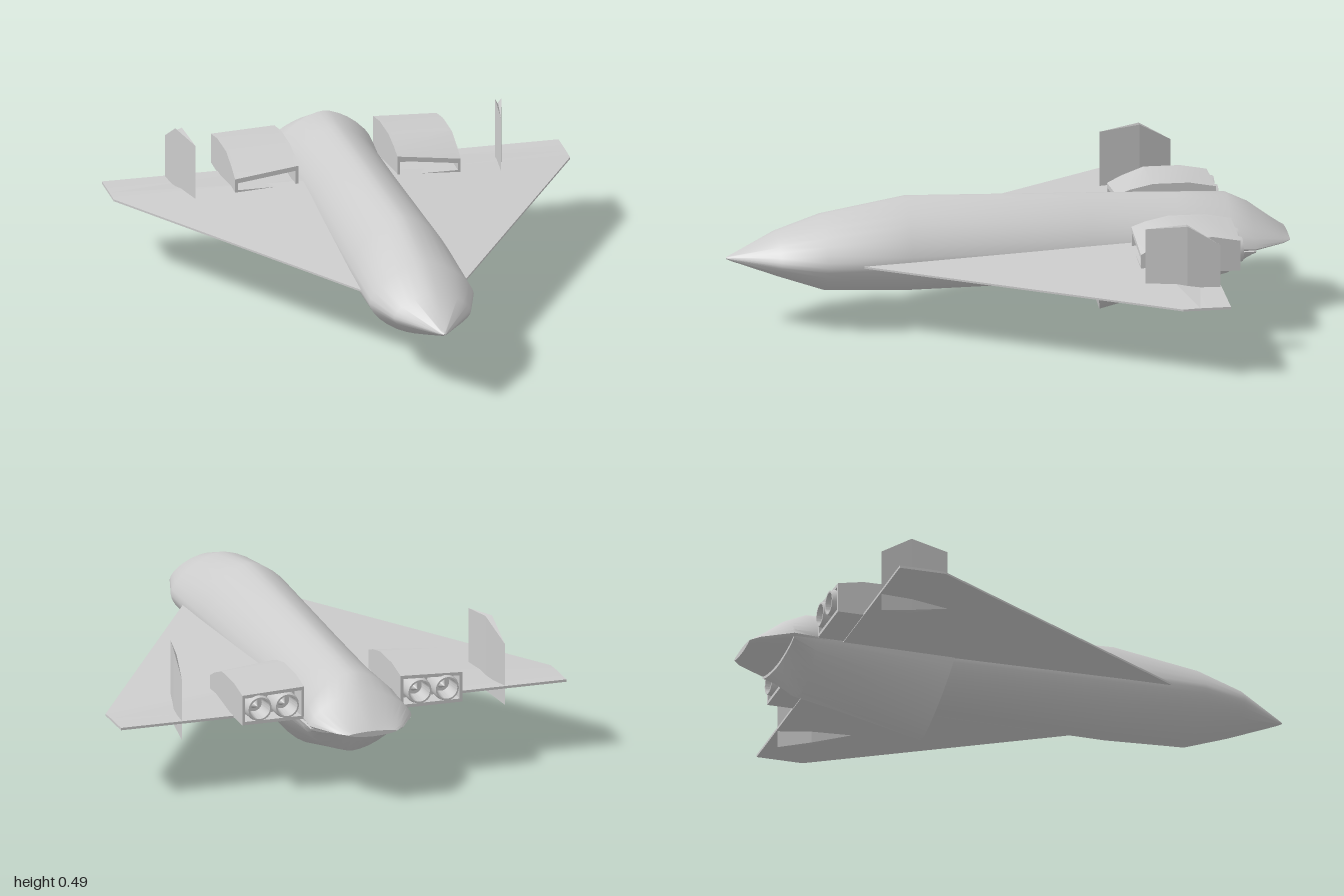
import * as THREE from 'three';
import { toCreasedNormals } from 'three/addons/utils/BufferGeometryUtils.js';

const material = new THREE.MeshStandardMaterial({ color: 0xcccccc, side: THREE.DoubleSide });
const V = (x, y, z) => new THREE.Vector3(x, y, z);

function mesh(name, geometry, crease = 0.6) {
  const m = new THREE.Mesh(toCreasedNormals(geometry, crease), material);
  m.name = name;
  return m;
}

// Skin a list of closed rings and cap both ends.
function loft(rings) {
  const n = rings[0].length;
  const pos = rings.flat().flatMap((p) => [p.x, p.y, p.z]);
  const index = [];
  for (let i = 0; i < rings.length - 1; i++) {
    for (let j = 0; j < n; j++) {
      const k = (j + 1) % n;
      const a = i * n + j, b = i * n + k, c = a + n, d = b + n;
      index.push(a, c, b, b, c, d);
    }
  }
  [0, rings.length - 1].forEach((r, end) => {
    const c = rings[r].reduce((s, p) => s.add(p), V(0, 0, 0)).divideScalar(n);
    const ci = pos.length / 3;
    pos.push(c.x, c.y, c.z);
    for (let j = 0; j < n; j++) {
      const a = r * n + j, b = r * n + ((j + 1) % n);
      if (end) index.push(ci, b, a);
      else index.push(ci, a, b);
    }
  });
  const g = new THREE.BufferGeometry();
  g.setAttribute('position', new THREE.Float32BufferAttribute(pos, 3));
  g.setIndex(index);
  return g;
}

// Slightly pointed oval with separate top and bottom heights.
function oval(z, w, mid, top, bottom, skew = 0, n = 32) {
  const pts = [];
  const bend = (v) => Math.sign(v) * Math.abs(v) ** 1.25;
  for (let i = 0; i < n; i++) {
    const t = (i / n) * Math.PI * 2;
    const s = bend(Math.sin(t));
    const y = mid + s * (s > 0 ? top - mid : mid - bottom);
    pts.push(V(w * bend(Math.cos(t)), y, z - skew * (mid - y)));
  }
  return pts;
}

function fuselage() {
  // z, half width, middle, top, bottom
  const stations = [
    [1, 0.004, 0.255, 0.258, 0.252], [0.98, 0.02, 0.255, 0.268, 0.243],
    [0.82, 0.14, 0.26, 0.345, 0.185], [0.66, 0.19, 0.26, 0.4, 0.127],
    [0.36, 0.187, 0.26, 0.455, 0.11], [-0.28, 0.17, 0.26, 0.435, 0.112],
    [-0.6, 0.167, 0.26, 0.423, 0.14], [-0.78, 0.183, 0.26, 0.415, 0.2],
    [-0.865, 0.19, 0.26, 0.372, 0.226], [-0.97, 0.125, 0.258, 0.29, 0.24],
    [-1, 0.09, 0.257, 0.265, 0.245]];
  return mesh('fuselage', loft(stations.map((s) => oval(...s))), 0.7);
}

// Belly fairing with a raked front face
function belly() {
  const rings = [
    oval(-0.27, 0.184, 0.25, 0.255, 0.005, 0.25),
    oval(-0.78, 0.188, 0.25, 0.255, 0.122),
    oval(-0.865, 0.186, 0.25, 0.255, 0.215)];
  return mesh('bellyFairing', loft(rings), 0.6);
}

function wing() {
  const section = (x, lead, crestZ, crestY) => [
    V(x, 0.255, -0.68), V(x, 0.255, lead), V(x, 0.262, lead),
    V(x, crestY, crestZ), V(x, 0.264, -0.68)];
  return mesh('wing', loft([
    section(0.08, 0.71, -0.42, 0.3), section(0.83, -0.51, -0.57, 0.264)]), 0.1);
}

// Toed fin with a diamond cross-section, reaching below the wing
function fin() {
  const ring = (yLead, yMid, yTrail) => {
    const at = (y, z, bulge) => V(0.556 + (-0.42 - z) * 0.18 + bulge, y, z);
    return [at(yLead, -0.415, 0), at(yMid, -0.56, -0.012),
      at(yTrail, -0.675, 0), at(yMid, -0.56, 0.012)];
  };
  return mesh('tailFin', loft([ring(0.255, 0.213, 0.193), ring(0.475, 0.49, 0.42)]), 0.1);
}

function nacelle() {
  const group = new THREE.Group();
  group.name = 'engineNacelle';
  const roof = [[-0.42, 0.362], [-0.47, 0.38], [-0.55, 0.397], [-0.68, 0.396], [-0.775, 0.378]];
  // Side profile in (z, y); the core is hollowed at the intake and the exhaust.
  const slab = (name, x0, x1, hollow) => {
    const outline = [...roof];
    if (hollow) outline.push([-0.775, 0.366], [-0.7, 0.372], [-0.7, 0.27], [-0.775, 0.27]);
    outline.push([-0.775, 0.258], [-0.42, 0.258]);
    if (hollow) outline.push([-0.42, 0.29], [-0.54, 0.29], [-0.54, 0.35], [-0.42, 0.345]);
    const shape = new THREE.Shape(outline.map(([z, y]) => new THREE.Vector2(-z, y)));
    const g = new THREE.ExtrudeGeometry(shape, { depth: x1 - x0, bevelEnabled: false });
    g.rotateY(Math.PI / 2).translate(x0, 0, 0);
    // Roof and intake lip slope down towards the outside
    const p = g.attributes.position;
    for (let i = 0; i < p.count; i++) {
      if (p.getY(i) < 0.33) continue;
      const front = THREE.MathUtils.clamp((p.getZ(i) + 0.55) / 0.13, 0, 1);
      const out = (p.getX(i) - 0.18) / 0.23;
      p.setY(i, p.getY(i) - out * (0.01 + 0.02 * front));
    }
    g.computeVertexNormals();
    group.add(mesh(name, g, 0.35));
  };
  slab('nacelleCore', 0.19, 0.4, true);
  slab('nacelleInnerWall', 0.18, 0.19, false);
  slab('nacelleOuterWall', 0.4, 0.41, false);

  // Exhaust nozzles with a centre cone
  const profile = [[0.047, 0], [0.047, 0.075], [0.043, 0.09], [0.037, 0.09],
    [0.03, 0.02], [0.018, 0.02], [0, 0.06]].map(([r, y]) => new THREE.Vector2(r, y));
  for (const x of [0.247, 0.349]) {
    const g = new THREE.LatheGeometry(profile, 24).rotateX(-Math.PI / 2);
    const nozzle = mesh('exhaustNozzle', g, 0.5);
    nozzle.position.set(x, 0.317, -0.7);
    group.add(nozzle);
  }
  return group;
}

export function createModel() {
  const model = new THREE.Group();
  model.name = 'spaceplane';
  model.add(fuselage(), belly());
  // Left half, then its mirror image
  for (const side of [1, -1]) {
    const half = new THREE.Group();
    half.name = side > 0 ? 'leftSide' : 'rightSide';
    half.add(wing(), fin(), nacelle());
    half.scale.x = side;
    model.add(half);
  }
  return model;
}
